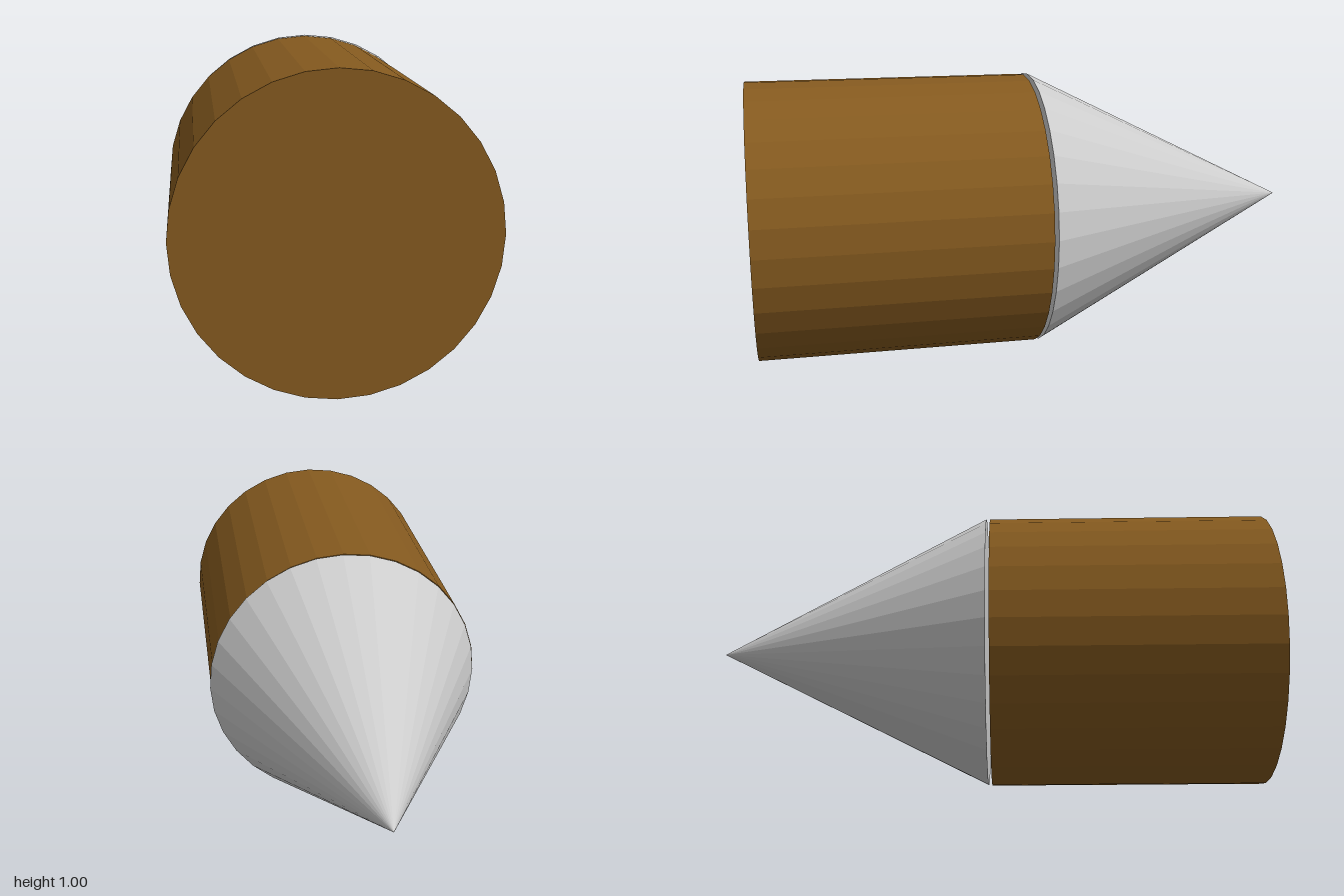
import * as THREE from 'three';

const SIDES = 32;
const RADIUS = 0.4975;
const LENGTH = 0.995;

// Adds a solid whose axis runs along z, with its tip or top facing the back
function addPart(group, name, geometry, color, x, y, z) {
  geometry.rotateX(-Math.PI / 2);
  const material = new THREE.MeshStandardMaterial({ color, flatShading: true });
  const mesh = new THREE.Mesh(geometry, material);
  mesh.name = name;
  mesh.position.set(x, y, z);
  group.add(mesh);
}

export function createModel() {
  const group = new THREE.Group();
  group.name = 'pointedCylinder';

  // Brown cylindrical body, front half
  addPart(group, 'body', new THREE.CylinderGeometry(RADIUS, RADIUS, LENGTH, SIDES),
    0x855a1f, -0.002, 0.498, 1 - LENGTH / 2);

  // Grey conical tip, a hair's breadth behind the body
  addPart(group, 'tip', new THREE.ConeGeometry(RADIUS, LENGTH - 0.003, SIDES),
    0xcccccc, 0.002, 0.501, -1 + (LENGTH - 0.003) / 2);

  return group;
}
